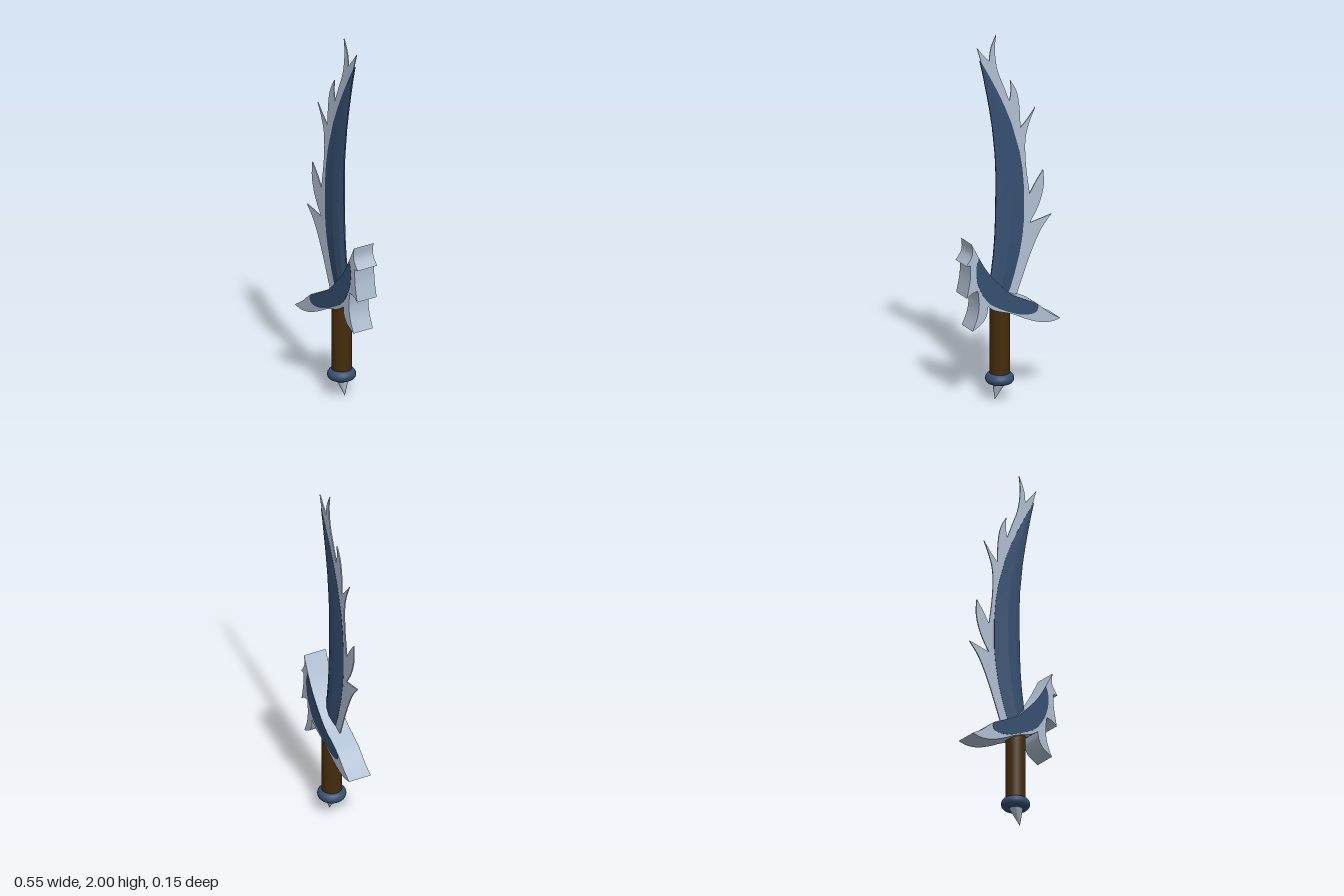
import * as THREE from 'three';
import { toCreasedNormals } from 'three/addons/utils/BufferGeometryUtils.js';

// Outline made of smooth runs that meet at sharp corners; each run is a flat list of x, y.
function outline(start, runs) {
  const shape = new THREE.Shape();
  shape.moveTo(start[0], start[1]);
  for (const run of runs) {
    if (run.length === 2) { shape.lineTo(run[0], run[1]); continue; }
    const pts = [];
    for (let i = 0; i < run.length; i += 2) pts.push(new THREE.Vector2(run[i], run[i + 1]));
    shape.splineThru(pts);
  }
  return shape;
}

// Slab of the given half thickness, centred on z = 0.
function slab(shape, half) {
  const g = new THREE.ExtrudeGeometry(shape, { depth: half * 2, bevelEnabled: false, curveSegments: 3 });
  g.translate(0, 0, -half);
  return toCreasedNormals(g, 0.5);
}

// Blade body lofted from rows of [y, left x, right x, half thickness].
function loftBlade(rows, edge) {
  const pos = [], idx = [];
  const n = 8;
  for (const [y, xl, xr, h] of rows) {
    const section = [[0, edge], [0.5, h], [0.8, h * 0.85], [1, edge], [1, -edge], [0.8, -h * 0.85], [0.5, -h], [0, -edge]];
    for (const [t, z] of section) pos.push(xl + (xr - xl) * t, y, z);
  }
  for (let i = 0; i < rows.length - 1; i++) {
    for (let j = 0; j < n; j++) {
      const a = i * n + j, b = i * n + (j + 1) % n;
      idx.push(a, b, b + n, a, b + n, a + n);
    }
  }
  const top = (rows.length - 1) * n;
  for (let j = 1; j < n - 1; j++) idx.push(top, top + j, top + j + 1, 0, j + 1, j);
  const g = new THREE.BufferGeometry();
  g.setAttribute('position', new THREE.Float32BufferAttribute(pos, 3));
  g.setIndex(idx);
  return toCreasedNormals(g, 0.15);
}

export function createModel() {
  const group = new THREE.Group();
  const material = (name, color) => {
    const m = new THREE.MeshStandardMaterial({ color });
    m.name = name;
    return m;
  };
  const silver = material('silver', 0xb0bfd2);
  const blue = material('dark blue', 0x364f70);
  const brown = material('brown', 0x452c0c);
  const add = (name, geometry, mat) => {
    const mesh = new THREE.Mesh(geometry, mat);
    mesh.name = name;
    group.add(mesh);
    return mesh;
  };

  // Thin silver back edge with flame-like barbs
  const barbs = outline([0.18, 1.945], [
    [0.145, 1.9, 0.11, 1.86],
    [0.1, 1.93, 0.07, 2.0],
    [0.077, 1.92, 0.063, 1.81, 0.025, 1.71, -0.008, 1.625],
    [-0.016, 1.68, -0.013, 1.74],
    [-0.05, 1.67, -0.066, 1.58, -0.071, 1.47],
    [-0.11, 1.51, -0.157, 1.57],
    [-0.122, 1.49, -0.1, 1.4, -0.103, 1.26, -0.125, 1.1],
    [-0.16, 1.16, -0.203, 1.22],
    [-0.206, 1.13, -0.177, 1.03, -0.125, 0.94],
    [-0.18, 0.953, -0.25, 0.97],
    [-0.187, 0.89, -0.125, 0.76, -0.05, 0.56],
    [0.05, 0.56],
    [0.03, 0.75, 0.02, 1.05, 0.03, 1.35, 0.075, 1.62, 0.155, 1.86],
    [0.18, 1.945],
  ]);
  add('bladeBackEdge', slab(barbs, 0.003), silver);

  // Thick curved blade
  add('blade', loftBlade([
    [0.53, 0.02, 0.09, 0.018],
    [0.6, -0.012, 0.113, 0.018],
    [0.68, -0.038, 0.1, 0.018],
    [0.785, -0.066, 0.086, 0.018],
    [0.88, -0.083, 0.078, 0.017],
    [0.97, -0.092, 0.074, 0.016],
    [1.13, -0.092, 0.071, 0.014],
    [1.24, -0.083, 0.071, 0.0125],
    [1.34, -0.066, 0.075, 0.0115],
    [1.5, -0.02, 0.092, 0.0095],
    [1.6, 0.02, 0.108, 0.008],
    [1.685, 0.06, 0.124, 0.007],
    [1.79, 0.115, 0.145, 0.0055],
    [1.87, 0.16, 0.164, 0.004],
  ], 0.004), blue);

  // Guard: a crescent with three claws at its raised end
  const guard = outline([-0.273, 0.413], [
    [-0.21, 0.452, -0.14, 0.51, -0.07, 0.545, 0.008, 0.585, 0.087, 0.658, 0.151, 0.733, 0.198, 0.812, 0.24, 0.893],
    [0.238, 0.83, 0.272, 0.777],
    [0.247, 0.777],
    [0.249, 0.7, 0.268, 0.6],
    [0.24, 0.622, 0.204, 0.632],
    [0.197, 0.56, 0.206, 0.49, 0.236, 0.415],
    [0.18, 0.45, 0.152, 0.495, 0.147, 0.537],
    [0.1, 0.507, 0.008, 0.478, -0.07, 0.44, -0.15, 0.41, -0.22, 0.402, -0.273, 0.413],
  ]);
  add('guard', slab(guard, 0.063), silver);

  // Dark inlays on both faces of the guard
  const inlay = outline([0.198, 0.811], [
    [0.214, 0.75, 0.204, 0.664, 0.167, 0.59, 0.125, 0.543, 0.034, 0.495, -0.056, 0.464, -0.124, 0.464, -0.145, 0.489, -0.14, 0.509],
    [-0.07, 0.544, 0.008, 0.584, 0.087, 0.657, 0.151, 0.732, 0.198, 0.811],
  ]);
  for (const [name, z] of [['guardInlayFront', 0.0625], ['guardInlayBack', -0.0625]]) {
    add(name, slab(inlay, 0.0015), blue).position.z = z;
  }

  // Grip
  const grip = new THREE.CylinderGeometry(0.053, 0.053, 0.42, 32);
  grip.translate(0.048, 0.32, 0);
  add('grip', grip, brown);

  // Pommel ring
  const ring = new THREE.TorusGeometry(0.046, 0.03, 14, 36);
  ring.rotateX(Math.PI / 2);
  ring.translate(0.048, 0.115, 0);
  add('pommelRing', ring, blue);

  // Pommel spike, its tip pulled sideways
  const spike = new THREE.ConeGeometry(0.043, 0.11, 24, 4);
  const p = spike.attributes.position;
  for (let i = 0; i < p.count; i++) {
    const t = p.getY(i) / 0.11 + 0.5;
    p.setX(i, p.getX(i) - 0.03 * t);
  }
  spike.rotateZ(Math.PI);
  spike.translate(0.046, 0.055, 0);
  spike.computeVertexNormals();
  add('pommelSpike', spike, silver);

  return group;
}
